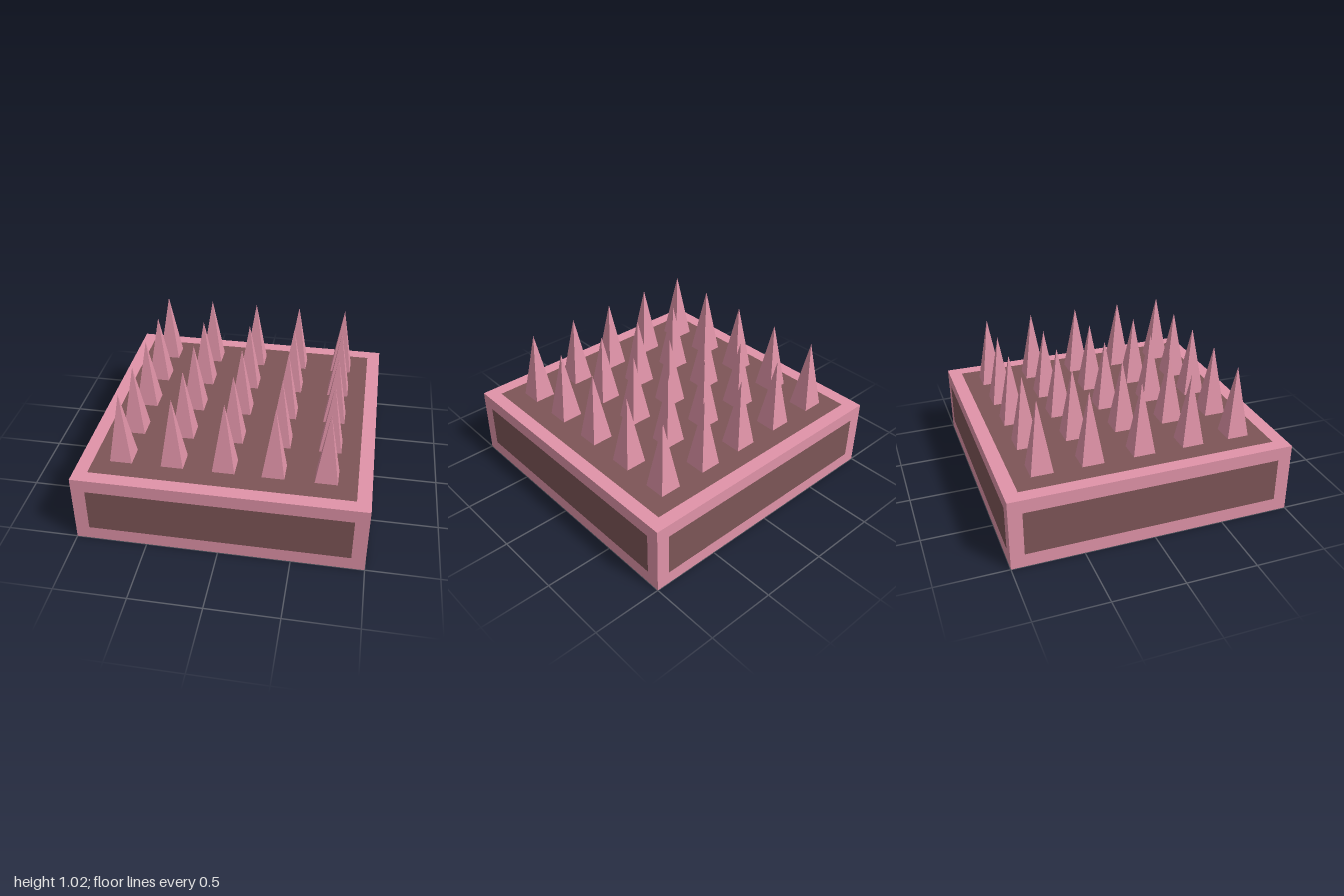
import * as THREE from 'three';

const HEIGHT = 0.51;
const BORDER = 0.096;

const pink = new THREE.MeshStandardMaterial({ color: 0xe093a8 });
const brown = new THREE.MeshStandardMaterial({ color: 0x7d5557 });

// Corners of a centred rectangle
function corners(w, h) {
  return [[-w, -h], [w, -h], [w, h], [-w, h]].map(([x, y]) => new THREE.Vector2(x / 2, y / 2));
}

// One flat side of the base: a border with a flush inset panel, facing +z
function baseSide(name, w, h) {
  const side = new THREE.Group();
  side.name = name;
  const iw = w - 2 * BORDER, ih = h - 2 * BORDER;
  const shape = new THREE.Shape(corners(w, h));
  shape.holes.push(new THREE.Path(corners(iw, ih).reverse()));
  const border = new THREE.Mesh(new THREE.ShapeGeometry(shape), pink);
  border.name = name + 'Border';
  const panel = new THREE.Mesh(new THREE.PlaneGeometry(iw, ih), brown);
  panel.name = name + 'Panel';
  side.add(border, panel);
  return side;
}

export function createModel() {
  const model = new THREE.Group();
  model.name = 'spikeTrap';

  // Base block: four walls, top and bottom
  const base = new THREE.Group();
  base.name = 'base';
  ['front', 'left', 'back', 'right'].forEach((name, i) => {
    const wall = baseSide(name, 2, HEIGHT);
    const angle = i * Math.PI / 2;
    wall.rotation.y = angle;
    wall.position.set(Math.sin(angle), HEIGHT / 2, Math.cos(angle));
    base.add(wall);
  });
  const top = baseSide('top', 2, 2);
  top.rotation.x = -Math.PI / 2;
  top.position.y = HEIGHT;
  const bottom = baseSide('bottom', 2, 2);
  bottom.rotation.x = Math.PI / 2;
  base.add(top, bottom);
  model.add(base);

  // Grid of square spikes hovering just above the top
  const spikes = new THREE.Group();
  spikes.name = 'spikes';
  const spikeMaterial = pink.clone();
  spikeMaterial.flatShading = true;
  const spikeGeometry = new THREE.ConeGeometry(0.077 * Math.SQRT2, 0.505, 4);
  spikeGeometry.rotateY(Math.PI / 4);
  for (const x of [-0.706, -0.35, 0.003, 0.34, 0.695]) {
    for (const z of [-0.71, -0.362, 0, 0.357, 0.699]) {
      const spike = new THREE.Mesh(spikeGeometry, spikeMaterial);
      spike.name = 'spike';
      spike.position.set(x, 0.52 + 0.505 / 2, z);
      spikes.add(spike);
    }
  }
  model.add(spikes);
  return model;
}
